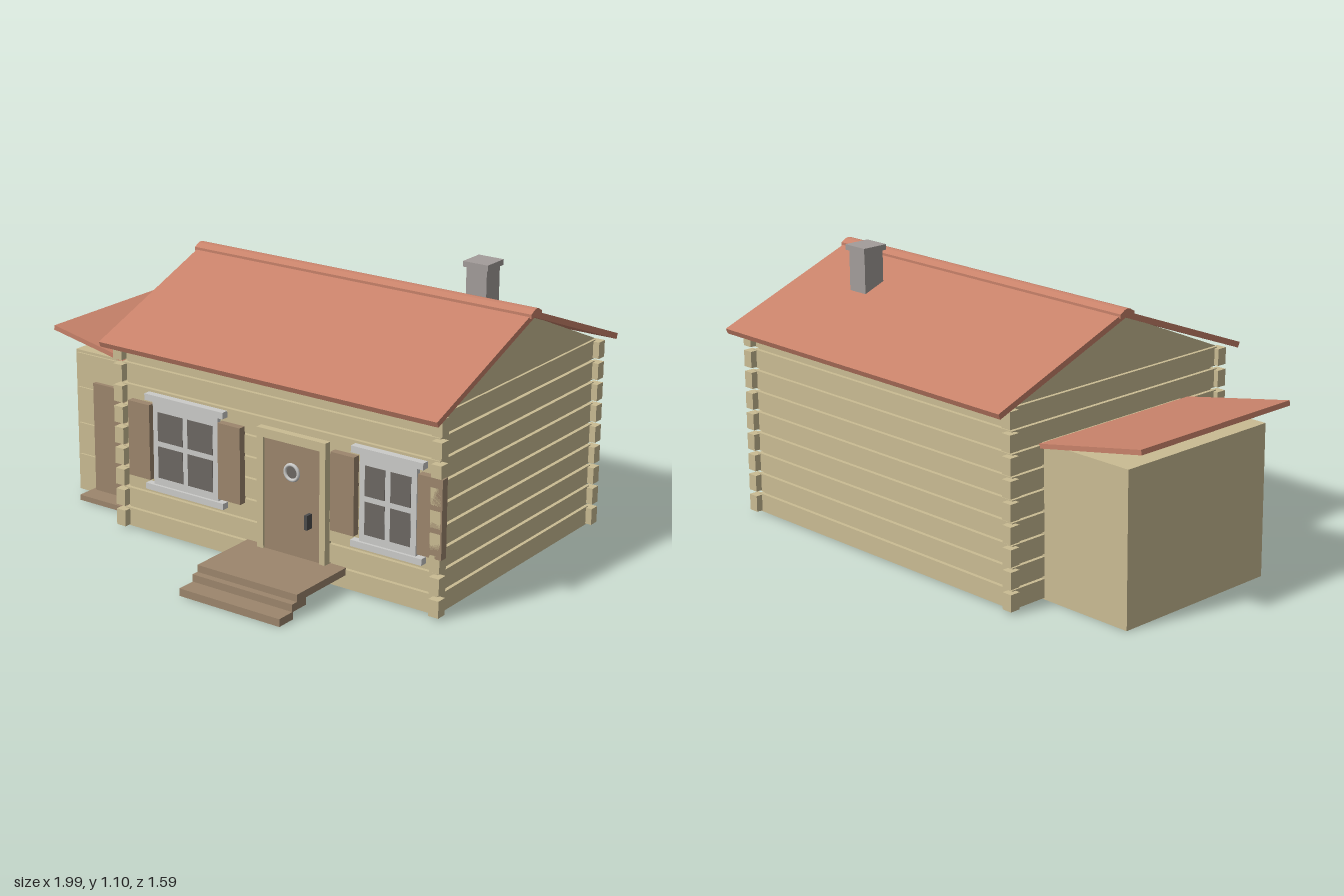
import * as THREE from 'three';

const mat = (name, color) => {
  const m = new THREE.MeshStandardMaterial({ color });
  m.name = name;
  return m;
};

export function createModel() {
  const timber = mat('pale timber', 0xcabc93);
  const brown = mat('brown wood', 0x9c866d);
  const tile = mat('roof red', 0xc8826a);
  const white = mat('window white', 0xcbcbc9);
  const stone = mat('chimney grey', 0xa39d9a);
  const glass = mat('dark glass', 0x6d6863);
  const iron = mat('dark iron', 0x4c4c4c);

  const house = new THREE.Group();
  house.name = 'logCabin';

  const add = (parent, name, geo, material) => {
    const mesh = new THREE.Mesh(geo, material);
    mesh.name = name;
    parent.add(mesh);
    return mesh;
  };
  const group = (name) => {
    const g = new THREE.Group();
    g.name = name;
    house.add(g);
    return g;
  };
  // box given by its limits on each axis
  const box = (parent, name, material, x0, x1, y0, y1, z0, z1) => {
    const mesh = add(parent, name, new THREE.BoxGeometry(x1 - x0, y1 - y0, z1 - z0), material);
    mesh.position.set((x0 + x1) / 2, (y0 + y1) / 2, (z0 + z1) / 2);
    return mesh;
  };
  const extrude = (points, depth) => new THREE.ExtrudeGeometry(
    new THREE.Shape(points.map(([a, b]) => new THREE.Vector2(a, b))),
    { depth, bevelEnabled: false });
  // [z, y] profile swept from x0 to x1
  const sweepX = (parent, name, material, points, x0, x1) => {
    const geo = extrude(points.map(([z, y]) => [-z, y]), x1 - x0);
    geo.rotateY(Math.PI / 2).translate(x0, 0, 0);
    return add(parent, name, geo, material);
  };

  // Log walls: recessed core, nine courses, blocks at each corner
  const walls = group('logWalls');
  const pitch = 0.0856;
  box(walls, 'wallCore', timber, -0.495, 0.93, 0, 0.77, -0.68, 0.375);
  for (let i = 0; i < 9; i++) {
    const y = i * pitch;
    box(walls, 'logCourse', timber, -0.51, 0.945, y + 0.006, y + 0.08, -0.695, 0.39);
    for (const x of [-0.53, 0.928]) {
      for (const z of [-0.722, 0.377]) {
        box(walls, 'cornerLogEnd', timber, x, x + 0.043, y + 0.01, y + 0.076, z, z + 0.043);
      }
    }
  }
  const ridgeZ = -0.157;
  sweepX(walls, 'gable', timber,
    [[0.385, 0.77], [ridgeZ, 1.0], [-0.695, 0.77]], -0.508, 0.943);

  // Main roof: two sloping slabs and a ridge cap
  const roof = group('mainRoof');
  for (const s of [1, -1]) {
    sweepX(roof, 'roofSlope', tile, [
      [ridgeZ, 0.994], [ridgeZ + s * 0.628, 0.752],
      [ridgeZ + s * 0.637, 0.773], [ridgeZ, 1.018],
    ], -0.547, 0.987);
  }
  sweepX(roof, 'ridgeCap', tile, [
    [-0.12, 0.998], [-0.12, 1.014], [-0.143, 1.027], [-0.157, 1.03],
    [-0.17, 1.027], [-0.193, 1.014], [-0.193, 0.998],
  ], -0.555, 0.995);

  const chimney = group('chimney');
  box(chimney, 'chimneyStack', stone, 0.585, 0.675, 0.78, 1.08, -0.42, -0.328);
  box(chimney, 'chimneyCap', stone, 0.575, 0.685, 1.078, 1.1, -0.43, -0.318);

  // Windows with frame, four panes, head, sill and shutters
  const addWindow = (name, cx, halfWidth, shutters) => {
    const g = group(name);
    const x0 = cx - halfWidth, x1 = cx + halfWidth;
    box(g, 'windowFrame', white, x0, x1, 0.215, 0.56, 0.38, 0.409);
    box(g, 'windowHead', white, x0 - 0.032, x1 + 0.032, 0.558, 0.584, 0.38, 0.42);
    box(g, 'windowSill', white, x0 - 0.032, x1 + 0.032, 0.195, 0.22, 0.38, 0.42);
    for (const s of [-1, 1]) {
      for (const [y0, y1] of [[0.25, 0.378], [0.4, 0.517]]) {
        const near = cx + s * 0.012, far = cx + s * (halfWidth - 0.024);
        box(g, 'windowPane', glass, Math.min(near, far), Math.max(near, far),
          y0, y1, 0.405, 0.411);
      }
    }
    for (const x of shutters) {
      box(g, 'shutter', brown, x, x + 0.105, 0.235, 0.54, 0.388, 0.42);
    }
  };
  addWindow('wideWindow', -0.188, 0.157, [-0.46, -0.023]);
  addWindow('narrowWindow', 0.74, 0.123, [0.495, 0.873]);

  // Front door
  const door = group('frontDoor');
  box(door, 'doorFrameTop', timber, 0.16, 0.473, 0.53, 0.565, 0.38, 0.42);
  box(door, 'doorFrameSide', timber, 0.16, 0.19, 0.085, 0.53, 0.38, 0.42);
  box(door, 'doorFrameSide', timber, 0.447, 0.473, 0.085, 0.53, 0.38, 0.42);
  box(door, 'doorPanel', brown, 0.19, 0.447, 0.085, 0.53, 0.38, 0.411);
  const ring = add(door, 'portholeRing', new THREE.TorusGeometry(0.03, 0.007, 8, 24), white);
  ring.position.set(0.318, 0.417, 0.414);
  const pane = add(door, 'portholeGlass', new THREE.CircleGeometry(0.03, 24), glass);
  pane.position.set(0.318, 0.417, 0.414);
  box(door, 'doorHandle', iron, 0.395, 0.408, 0.218, 0.275, 0.405, 0.442);

  // Porch steps
  const steps = group('porchSteps');
  box(steps, 'porchDeck', brown, 0.09, 0.545, 0.058, 0.087, 0.385, 0.69);
  box(steps, 'middleStep', brown, 0.09, 0.545, 0.029, 0.059, 0.635, 0.718);
  box(steps, 'lowerStep', brown, 0.09, 0.545, 0, 0.03, 0.712, 0.795);

  // Lean-to shed
  const shed = group('shed');
  box(shed, 'shedWalls', timber, -0.92, -0.5, 0, 0.6, -0.535, 0.195);
  for (const y of [0.137, 0.272, 0.425, 0.57]) {
    box(shed, 'shedBatten', timber, -0.908, -0.515, y, y + 0.02, 0.19, 0.203);
  }
  box(shed, 'shedDoor', brown, -0.82, -0.595, 0.02, 0.48, 0.19, 0.212);
  box(shed, 'shedStep', brown, -0.835, -0.573, 0, 0.022, 0.19, 0.293);
  const shedRoof = add(shed, 'shedRoof',
    extrude([[-1, 0.676], [-0.505, 0.582], [-0.505, 0.6], [-0.996, 0.695]], 0.79), tile);
  shedRoof.position.z = -0.555;

  return house;
}
